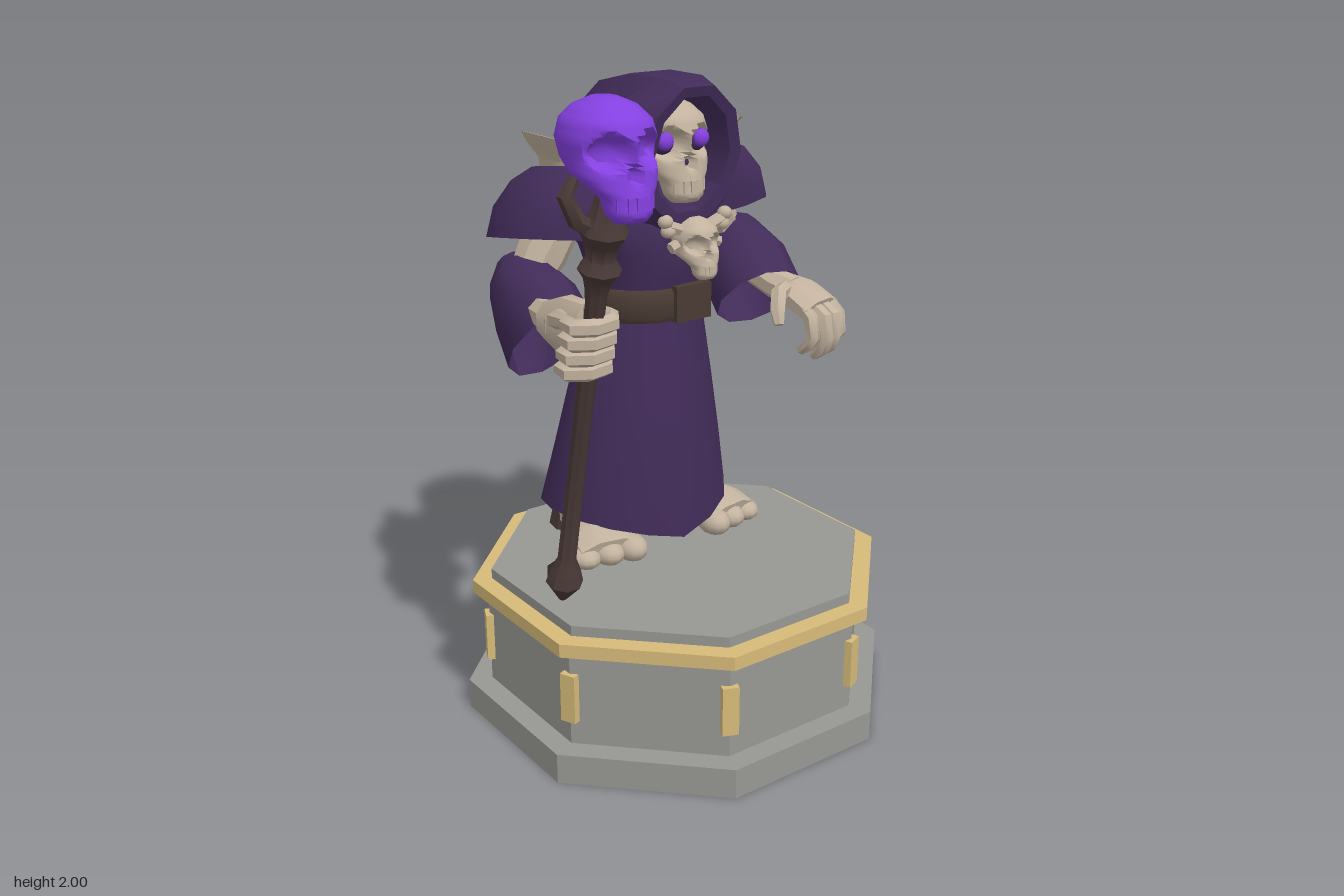
import * as THREE from 'three';
import { toCreasedNormals } from 'three/addons/utils/BufferGeometryUtils.js';

const mat = (name, color, side = THREE.FrontSide) => {
  const m = new THREE.MeshStandardMaterial({ color, side });
  m.name = name;
  return m;
};

// Skin a stack of equal-length rings, with optional end caps
function loft(rings, capA = true, capB = true, crease = 0.75) {
  const n = rings[0].length, pos = [], idx = [];
  rings.forEach(r => r.forEach(p => pos.push(...p)));
  const cap = (r, start, flip) => {
    const c = [0, 1, 2].map(k => r.reduce((s, p) => s + p[k], 0) / n), ci = pos.length / 3;
    pos.push(...c);
    for (let i = 0; i < n; i++) {
      const a = start + i, b = start + (i + 1) % n;
      idx.push(ci, ...(flip ? [b, a] : [a, b]));
    }
  };
  for (let j = 0; j < rings.length - 1; j++) for (let i = 0; i < n; i++) {
    const a = j * n + i, b = j * n + (i + 1) % n;
    idx.push(a, b, a + n, b, b + n, a + n);
  }
  if (capA) cap(rings[0], 0, true);
  if (capB) cap(rings[rings.length - 1], (rings.length - 1) * n, false);
  const g = new THREE.BufferGeometry();
  g.setAttribute('position', new THREE.Float32BufferAttribute(pos, 3));
  g.setIndex(idx);
  return toCreasedNormals(g, crease);
}

// Horizontal ring starting at the front; lift shifts height, pw < 1 squares it off
const bend = (v, pw) => Math.sign(v) * Math.abs(v) ** pw;
const flatRing = (y, cx, cz, rx, rz, n = 16, lift = () => 0, pw = 1) => Array.from({ length: n }, (_, i) => {
  const a = i / n * Math.PI * 2, x = rx * bend(Math.sin(a), pw), z = rz * bend(Math.cos(a), pw);
  return [cx + x, y + lift(x, z, a), cz + z];
});

// Tapered limb through [x, y, z, radius, flatten] stations
function limb(pts, n = 8, capA = true, capB = true) {
  const P = pts.map(p => new THREE.Vector3(p[0], p[1], p[2]));
  const total = P[P.length - 1].clone().sub(P[0]).toArray().map(Math.abs);
  const axis = [1, 0, 2].reduce((m, k) => total[k] < total[m] - 1e-6 ? k : m, 1);
  const ref = new THREE.Vector3().setComponent(axis, 1);
  const rings = pts.map((p, j) => {
    const t = P[Math.min(j + 1, P.length - 1)].clone().sub(P[Math.max(j - 1, 0)]).normalize();
    const u = ref.clone().cross(t).normalize(), w = t.clone().cross(u);
    return Array.from({ length: n }, (_, i) => {
      const a = (i + 0.5) / n * Math.PI * 2;
      return P[j].clone().addScaledVector(u, Math.cos(a) * p[3] * (p[4] ?? 1))
        .addScaledVector(w, Math.sin(a) * p[3]).toArray();
    });
  });
  return loft(rings, capA, capB);
}

export function createModel() {
  const root = new THREE.Group();
  root.name = 'hoodedSkeletonStatue';
  const stone = mat('stone', 0x979793), gold = mat('gold', 0xd6ba79), bone = mat('bone', 0xc2b29e);
  const robe = mat('robePurple', 0x422c59, THREE.DoubleSide), glow = mat('glowPurple', 0x8440e0);
  const wood = mat('darkWood', 0x4a3a37), leather = mat('leather', 0x4a3b34);
  const add = (name, geo, m, parent = root, at = [0, 0, 0]) => {
    const mesh = new THREE.Mesh(geo, m);
    mesh.name = name;
    mesh.position.set(...at);
    parent.add(mesh);
    return mesh;
  };
  const ball = (name, at, s, m, parent = root) =>
    add(name, new THREE.SphereGeometry(1, 12, 8), m, parent, at).scale.set(...s);

  // Octagonal pedestal: [name, apothem, bottom, top, material]
  for (const [name, ap, y0, y1, m] of [['plinth', 0.635, 0, 0.095, stone], ['drum', 0.567, 0.095, 0.405, stone],
    ['goldRim', 0.61, 0.403, 0.445, gold], ['topSlab', 0.555, 0.445, 0.477, stone]]) {
    const r = ap / Math.cos(Math.PI / 8);
    const g = new THREE.CylinderGeometry(r, r, y1 - y0, 8).rotateY(Math.PI / 8).toNonIndexed();
    g.computeVertexNormals();
    add(name, g, m, root, [0, (y0 + y1) / 2, 0]);
  }
  for (let i = 0; i < 8; i++) {
    const a = (i + 0.5) * Math.PI / 4;
    add('cornerClip', new THREE.BoxGeometry(0.05, 0.155, 0.04), gold, root,
      [Math.sin(a) * 0.607, 0.25, Math.cos(a) * 0.607]).rotation.y = a;
  }

  // Robe: skirt with pointed hem, torso, belt
  const hem = (x, z, a) => -0.08 * (1 - Math.abs(Math.sin(a)));
  add('skirt', loft([
    flatRing(0.61, 0, -0.25, 0.318, 0.28, 16, hem), flatRing(0.8, 0, -0.225, 0.282, 0.24),
    flatRing(1.0, 0, -0.205, 0.245, 0.197), flatRing(1.28, 0.015, -0.19, 0.18, 0.15)], false), robe);
  add('torso', loft([
    flatRing(1.26, 0.015, -0.19, 0.178, 0.15), flatRing(1.35, 0.015, -0.19, 0.185, 0.165),
    flatRing(1.45, 0.02, -0.2, 0.215, 0.2), flatRing(1.58, 0.025, -0.25, 0.29, 0.23),
    flatRing(1.69, 0.03, -0.29, 0.22, 0.2)]), robe);
  add('belt', loft([1.232, 1.25, 1.318, 1.335].map((y, i) =>
    flatRing(y, 0.015, -0.19, i % 3 ? 0.202 : 0.192, i % 3 ? 0.174 : 0.164))), leather);
  add('buckle', new THREE.BoxGeometry(0.13, 0.112, 0.03), leather, root, [0.062, 1.287, -0.018]);

  // Hood: upright rings from back to front, then folded into the opening
  const hoodRing = ([z, hw, y0, y1, lean]) => Array.from({ length: 10 }, (_, i) => {
    const a = (i + 0.5) / 10 * Math.PI * 2 + Math.PI / 2;
    const y = (y0 + y1) / 2 + Math.sin(a) * (y1 - y0) / 2 / 0.951;
    return [0.03 + hw * Math.cos(a), y, z + lean * (y - 1.75)];
  });
  add('hood', loft([
    [-0.54, 0.07, 1.58, 1.72, -0.05], [-0.47, 0.18, 1.48, 1.85, -0.05], [-0.36, 0.215, 1.44, 1.925, 0],
    [-0.18, 0.23, 1.44, 1.965, 0], [-0.04, 0.225, 1.48, 1.965, 0.1], [0.037, 0.175, 1.535, 1.945, 0.12],
    [0.03, 0.138, 1.575, 1.915, 0.12], [-0.12, 0.125, 1.6, 1.89, 0]].map(hoodRing), true, true, 0.6), robe);

  // Skull: stacked [height, half width, front, back] sections with pressed-in sockets and nose
  const sections = [[-0.168, 0.045, 0.138, 0.07], [-0.15, 0.06, 0.153, 0.045], [-0.11, 0.068, 0.148, 0.03],
    [-0.085, 0.088, 0.142, 0.01], [-0.055, 0.109, 0.138, -0.07], [-0.02, 0.112, 0.136, -0.12],
    [0.03, 0.119, 0.142, -0.138], [0.075, 0.108, 0.125, -0.125], [0.108, 0.076, 0.085, -0.088], [0.128, 0.03, 0.04, -0.04]];
  const press = (x, y, cx, cy, r, depth) => depth * Math.min(1, 2 * Math.max(0, 1 - Math.hypot(x - cx, y - cy) / r));
  const skullRings = [];
  for (let s = 0; s <= (sections.length - 1) * 3; s++) {
    const j = Math.min(Math.floor(s / 3), sections.length - 2), f = s / 3 - j;
    const [y, hw, zf, zb] = sections[j].map((v, k) => v + (sections[j + 1][k] - v) * f);
    skullRings.push(flatRing(y, 0, (zf + zb) / 2, hw, (zf - zb) / 2, 32, undefined, 0.9).map(([x, h, z]) =>
      [x, h, z < 0.03 ? z : z - press(Math.abs(x), h, 0.058, 0.005, 0.05, 0.055) - press(x, h, 0, -0.052, 0.026, 0.03)]));
  }
  function skull(name, m, at, size) {
    const s = new THREE.Group();
    s.name = name;
    s.position.set(...at);
    s.scale.setScalar(size);
    root.add(s);
    add('cranium', loft(skullRings, true, true, 0.9), m, s);
    for (let i = -2; i <= 2; i++)
      add('tooth', new THREE.BoxGeometry(0.02, 0.036, 0.02), m, s, [i * 0.023, -0.12, 0.144 - 0.006 * i * i]);
    return s;
  }
  const head = skull('headSkull', bone, [0.03, 1.772, -0.115], 1);
  for (const k of [-1, 1]) {
    ball('eyeSocket', [k * 0.059, 0.005, 0.074], [0.04, 0.036, 0.028], robe, head);
    ball('glowingEye', [k * 0.065, 0.012, 0.098], [0.027, 0.027, 0.02], glow, head);
    ball('nostril', [k * 0.009, -0.054, 0.106], [0.01, 0.018, 0.01], robe, head);
  }

  // Chest emblem with crossed bones
  skull('emblemSkull', bone, [0.052, 1.48, 0.002], 0.6);
  for (const k of [-1, 1]) {
    add('crossBone', limb([[0.052 - k * 0.1, 1.54, 0.012, 0.021], [0.052 + k * 0.09, 1.47, 0.012, 0.018]], 6), bone);
    for (const [dx, dy] of [[0.1, -0.008], [0.11, 0.022]])
      ball('boneKnob', [0.052 + k * dx, 1.533 + dy, 0.014], [0.024, 0.021, 0.022], bone);
  }

  // Shoulder pads, bone spikes and upper arms
  for (const [k, cx, cz] of [[-1, -0.325, -0.205], [1, 0.35, -0.31]]) {
    const tilt = (x, z) => k * x * 0.16 + z * 0.16;
    const padRing = ([y, dx, rx, rz]) => flatRing(y, cx + k * dx, cz, rx, rz, 12, tilt, 0.8);
    add('shoulderPad', loft([[1.5, 0, 0.165, 0.2], [1.59, -0.02, 0.155, 0.205], [1.665, -0.05, 0.125, 0.185],
      [1.705, -0.07, 0.085, 0.13]].map(padRing), true, true, 0.6), robe);
    const sx = k < 0 ? -0.285 : 0.345;
    add('shoulderSpike', loft([
      flatRing(1.66, sx, cz, 0.034, 0.08, 10), flatRing(1.735, sx + k * 0.015, cz, 0.028, 0.075, 10),
      flatRing(1.775, sx + k * 0.028, cz, 0.042, 0.105, 10),
      flatRing(1.8, sx + k * 0.035, cz, 0.054, 0.12, 10, x => -0.3 * x)]), bone);
  }
  add('rightUpperArm', limb([[-0.28, 1.57, -0.2, 0.07], [-0.34, 1.46, -0.22, 0.078], [-0.41, 1.35, -0.22, 0.06]]), bone);
  add('leftUpperArm', limb([[0.34, 1.55, -0.32, 0.07], [0.4, 1.46, -0.37, 0.082], [0.49, 1.35, -0.38, 0.065]]), bone);

  // Bell sleeves, open at the wrist
  add('rightSleeve', limb([[-0.39, 1.42, -0.31, 0.05], [-0.4, 1.375, -0.255, 0.1, 1.1],
    [-0.4, 1.31, -0.17, 0.125, 1.25], [-0.405, 1.225, -0.08, 0.125, 1.5]], 10, true, false), robe);
  add('leftSleeve', limb([[0.48, 1.405, -0.45, 0.05], [0.49, 1.36, -0.39, 0.115],
    [0.495, 1.28, -0.3, 0.15], [0.48, 1.19, -0.2, 0.15]], 10, true, false), robe);

  // Right hand gripping the staff
  add('rightForearm', limb([[-0.42, 1.33, -0.2, 0.045], [-0.46, 1.335, 0, 0.048], [-0.47, 1.335, 0.09, 0.055]]), bone);
  add('rightPalm', limb([[-0.475, 1.335, 0.03, 0.06, 0.8], [-0.468, 1.335, 0.11, 0.092, 0.6],
    [-0.458, 1.335, 0.2, 0.09, 0.5]]), bone);
  for (let i = 0; i < 4; i++) {
    const y = 1.264 + i * 0.044, dz = (y - 1.33) * 0.26;
    add('rightFinger', limb([[-0.45, y, 0.17 + dz, 0.025], [-0.438, y, 0.27 + dz, 0.027], [-0.468, y, 0.318 + dz, 0.026],
      [-0.53, y, 0.332 + dz, 0.026], [-0.577, y, 0.305 + dz, 0.025], [-0.57, y, 0.25 + dz, 0.02]], 6), bone);
  }
  add('rightThumb', limb([[-0.485, 1.36, 0.12, 0.028], [-0.55, 1.385, 0.19, 0.027], [-0.565, 1.4, 0.28, 0.02]], 6), bone);

  // Left hand hanging open with curled fingers
  add('leftForearm', limb([[0.49, 1.3, -0.32, 0.05], [0.52, 1.24, -0.17, 0.05], [0.54, 1.22, -0.1, 0.055]]), bone);
  add('leftPalm', limb([[0.525, 1.24, -0.16, 0.05, 0.9], [0.555, 1.215, -0.07, 0.085, 0.6],
    [0.568, 1.18, 0.01, 0.085, 0.5]]), bone);
  for (let i = 0; i < 4; i++) {
    const x = 0.508 + i * 0.038, d = [0.02, 0, 0.005, 0.025][i];
    add('leftFinger', limb([[x, 1.195, -0.01, 0.024], [x, 1.165, 0.055 - d, 0.027], [x - 0.003, 1.105, 0.07 - d, 0.024],
      [x - 0.008, 1.06 + d, 0.055 - d, 0.023], [x - 0.012, 1.032 + d, 0.02 - d, 0.016]], 6), bone);
  }
  add('leftThumb', limb([[0.51, 1.235, -0.1, 0.03], [0.44, 1.24, -0.05, 0.028], [0.41, 1.2, -0.02, 0.027],
    [0.4, 1.155, 0.0, 0.017]], 6), bone);

  // Legs and bare feet
  for (const k of [-1, 1]) {
    add('leg', limb([[k * 0.18, 0.477, -0.38, 0.062], [k * 0.17, 0.62, -0.35, 0.055], [k * 0.12, 0.95, -0.24, 0.06]]), wood);
    add('foot', limb([[k * 0.18, 0.535, -0.34, 0.055], [k * 0.2, 0.55, -0.2, 0.066, 1.1],
      [k * 0.23, 0.542, -0.09, 0.058, 1.9], [k * 0.24, 0.525, -0.03, 0.045, 2.4]]), bone);
    for (let i = 0; i < 3; i++)
      ball('toe', [k * (0.165 + i * 0.075), 0.52 - 0.004 * i, -0.03 - 0.02 * i], [0.05, 0.044 - 0.004 * i, 0.065], bone);
  }

  // Leaning staff with turned collar, spiked foot and prongs
  const at = y => { const t = (y - 0.5) / 1.18; return [-0.49 - 0.03 * t, y, 0.085 + 0.305 * t]; };
  add('staff', limb([[0.485, 0.012], [0.55, 0.056], [0.59, 0.045], [0.63, 0.028], [1.0, 0.026], [1.48, 0.029],
    [1.53, 0.042], [1.555, 0.06], [1.585, 0.04], [1.62, 0.045], [1.66, 0.066], [1.7, 0.045], [1.8, 0.025]]
    .map(([y, r]) => [...at(y), r]), 8), wood);
  add('footSpike', limb([[-0.49, 0.59, 0.08, 0.025], [-0.49, 0.56, 0.03, 0.018], [-0.49, 0.52, 0.01, 0.006]], 5), wood);
  for (const k of [-1, 1])
    add('prong', limb([[-0.52, 1.65, 0.37, 0.025], [-0.517 + k * 0.08, 1.695, 0.38, 0.025],
      [-0.515 + k * 0.112, 1.76, 0.375, 0.022], [-0.515 + k * 0.08, 1.81, 0.375, 0.014]], 6), wood);
  skull('staffSkull', glow, [-0.515, 1.873, 0.392], 1);

  return root;
}
